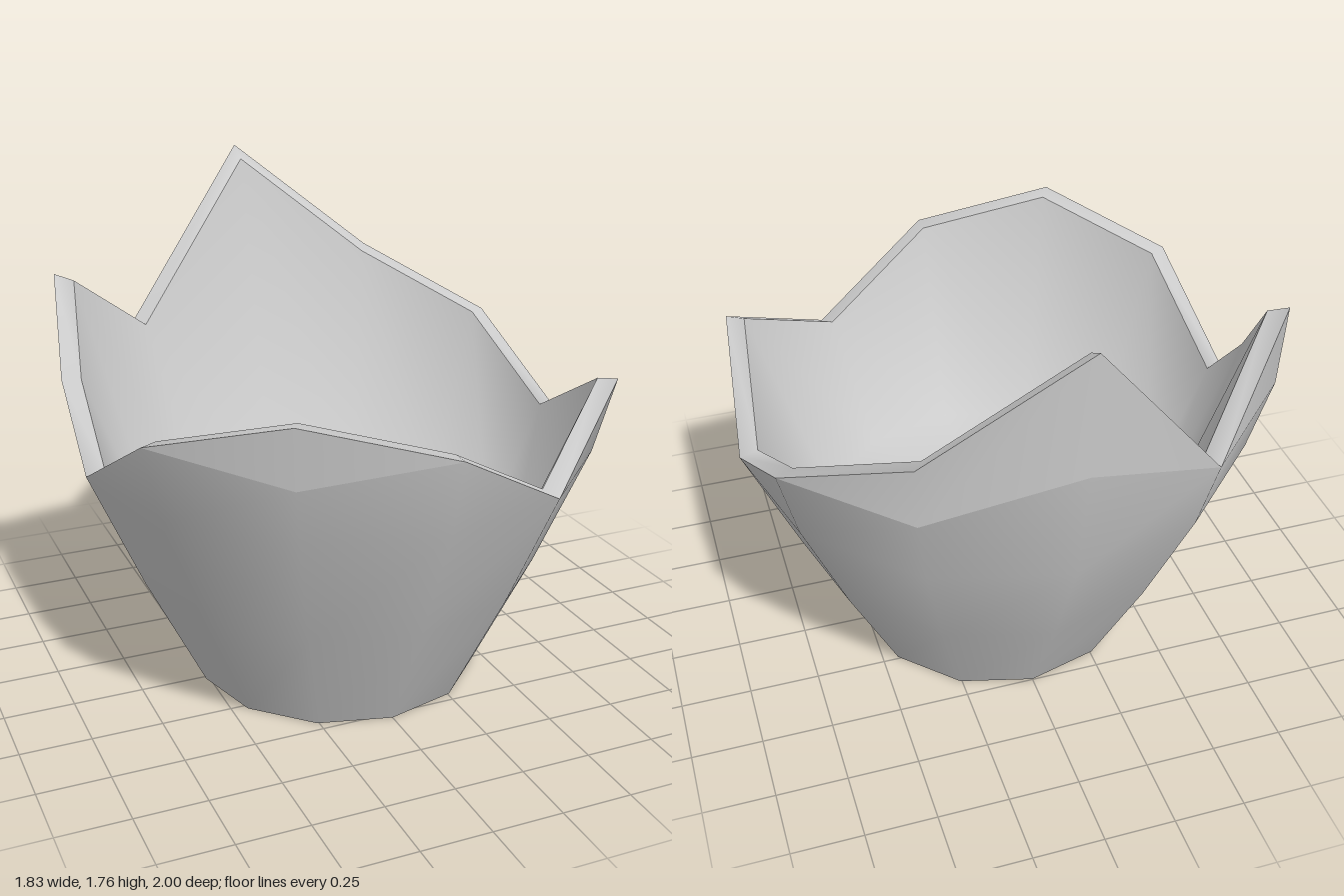
import * as THREE from 'three';
import { mergeVertices } from 'three/addons/utils/BufferGeometryUtils.js';

// Columns round the shell: [angle in 30 degree steps from the front, crease height, rim height]
const COLUMNS = [
  [0, 1.13, 1.13], [1, 0.86, 0.86], [2, 1.13, 1.13], [3, 0.86, 0.86],
  [4, 1.13, 1.13], [5, 1.13, 1.35], [6, 1.31, 1.76], [7, 1.13, 1.13],
  [8, 1.14, 1.44], [8.5, 1.13, 1.13], [9, 0.86, 0.86], [10, 1.13, 1.13], [11, 1.055, 1.265],
];
// Outer profile: [height, radius]
const PROFILE = [[0, 0.513], [0.43, 0.725], [0.86, 0.911], [1.13, 0.985], [1.31, 0.992], [1.44, 1.0], [1.76, 1.015]];
const THICKNESS = 0.07;
const FLOOR_Y = 0.4;
const CENTRE_Z = 0.015;

function radiusAt(y) {
  let i = 1;
  while (i < PROFILE.length - 1 && y > PROFILE[i][0]) i++;
  const [y0, r0] = PROFILE[i - 1], [y1, r1] = PROFILE[i];
  return r0 + (r1 - r0) * (y - y0) / (y1 - y0);
}

// Point on the twelve-sided shell; a half-step column lies on the flat of its side
function shellPoint(step, y, inset) {
  const flat = step % 1 ? Math.cos(Math.PI / 12) : 1;
  const r = (radiusAt(y) - inset) * flat;
  const a = step * Math.PI / 6;
  return [r * Math.sin(a), y, r * Math.cos(a) + CENTRE_Z];
}

// One column of points per entry, at the heights the rule gives
function columns(heights, inset) {
  return COLUMNS.map(([step, crease, rim]) => heights(crease, rim).map((y) => shellPoint(step, y, inset)));
}

// Surface between neighbouring closed rows of points
function wall(cols, flip) {
  const out = [];
  cols.forEach((a, i) => {
    const b = cols[(i + 1) % cols.length];
    for (let j = 0; j < a.length - 1; j++) {
      const tris = [[a[j], b[j], b[j + 1]], [a[j], b[j + 1], a[j + 1]]];
      for (const t of tris) out.push(...(flip ? t.reverse() : t));
    }
  });
  return out;
}

// Disc closing the bottom row
function disc(cols, up) {
  const centre = [0, cols[0][0][1], CENTRE_Z];
  return cols.flatMap((a, i) => {
    const b = cols[(i + 1) % cols.length];
    return up ? [centre, a[0], b[0]] : [centre, b[0], a[0]];
  });
}

function makeMesh(name, points) {
  const soup = new THREE.BufferGeometry();
  soup.setAttribute('position', new THREE.Float32BufferAttribute(points.flat(), 3));
  const geometry = mergeVertices(soup, 1e-4);
  geometry.computeVertexNormals();
  const mesh = new THREE.Mesh(geometry, new THREE.MeshStandardMaterial({ color: 0xcccccc }));
  mesh.name = name;
  return mesh;
}

export function createModel() {
  const group = new THREE.Group();
  group.name = 'brokenShell';
  const body = columns((crease) => [0, 0.43, 0.86, crease], 0);
  const peaks = columns((crease, rim) => [crease, rim], 0);
  const inner = columns((crease, rim) => [FLOOR_Y, rim + (1.13 - rim) * 0.07], THICKNESS);

  // Outside: rounded body, raised points above the crease, flat base
  group.add(makeMesh('outerShell', wall(body, false)));
  group.add(makeMesh('shellPeaks', wall(peaks, false)));
  group.add(makeMesh('base', disc(body, false)));

  // Inside: walls running straight from the rim to the floor, shaded as one bowl
  group.add(makeMesh('innerBowl', [...wall(inner, true), ...disc(inner, true)]));

  // Jagged broken edge
  const rim = peaks.map((c, i) => [c[1], inner[i][1]]);
  group.add(makeMesh('brokenRim', wall(rim, false)));
  return group;
}
